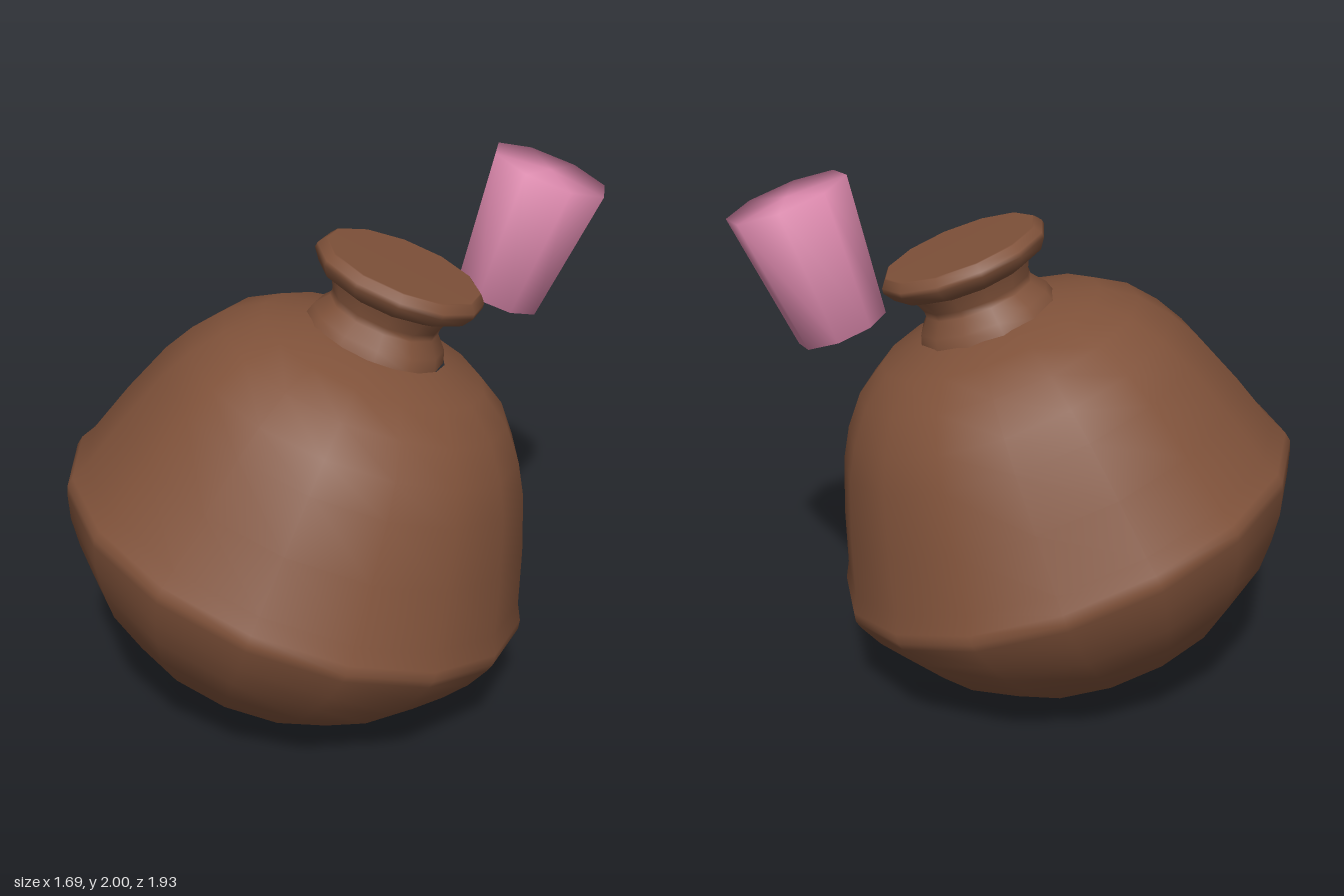
import * as THREE from 'three';

const BROWN = 0x80523a, PINK = 0xe08bb0;
const AXIS = new THREE.Vector3(0.235, 0.938, -0.255).normalize();

// Smooth solid of revolution from [radius, height] pairs, bottom to top
function turned(name, profile, sides, startDeg, color) {
  const points = profile.map(([r, y]) => new THREE.Vector2(r, y));
  const geometry = new THREE.LatheGeometry(points, sides, THREE.MathUtils.degToRad(startDeg));
  const mesh = new THREE.Mesh(geometry, new THREE.MeshStandardMaterial({ color }));
  mesh.name = name;
  return mesh;
}

// Group whose upright direction leans along the shared axis
function leaning(name, x, y, z, ...parts) {
  const group = new THREE.Group();
  group.name = name;
  group.position.set(x, y, z);
  group.quaternion.setFromUnitVectors(new THREE.Vector3(0, 1, 0), AXIS);
  group.add(...parts);
  return group;
}

export function createModel() {
  const model = new THREE.Group();
  model.name = 'potionJug';

  // Full belly with a soft lip at its widest line
  const body = turned('body', [
    [0, -0.535], [0.38, -0.53], [0.51, -0.475], [0.68, -0.33], [0.765, -0.22], [0.83, -0.12],
    [0.872, -0.025], [0.88, 0.005], [0.873, 0.04], [0.84, 0.1],
    [0.773, 0.3], [0.693, 0.5], [0.63, 0.61], [0.54, 0.72], [0.42, 0.8], [0.25, 0.845],
  ], 16, 7.7, BROWN);

  // Waisted neck
  const neck = turned('neck', [
    [0.26, 0.83], [0.245, 0.875], [0.203, 0.925], [0.203, 0.95], [0.225, 1.0], [0.23, 1.02],
  ], 12, 8, BROWN);

  // Closed rim, slanted underneath; the doubled ring keeps the top flat
  const rim = turned('rim', [
    [0.215, 1.0], [0.285, 1.03], [0.312, 1.07], [0.31, 1.088], [0.289, 1.114], [0.284, 1.117], [0, 1.117],
  ], 12, 8, BROWN);

  // Tapered stopper hovering behind the rim
  const stopper = turned('stopper', [
    [0, -0.25], [0.163, -0.25], [0.222, 0.25], [0, 0.25],
  ], 8, 9, PINK);

  model.add(
    leaning('belly', 0, 0.63, 0.115, body),
    leaning('neckAndRim', -0.02, 0.635, 0.105, neck, rim),
    leaning('floatingStopper', 0.38, 1.69, -0.69, stopper),
  );
  return model;
}
